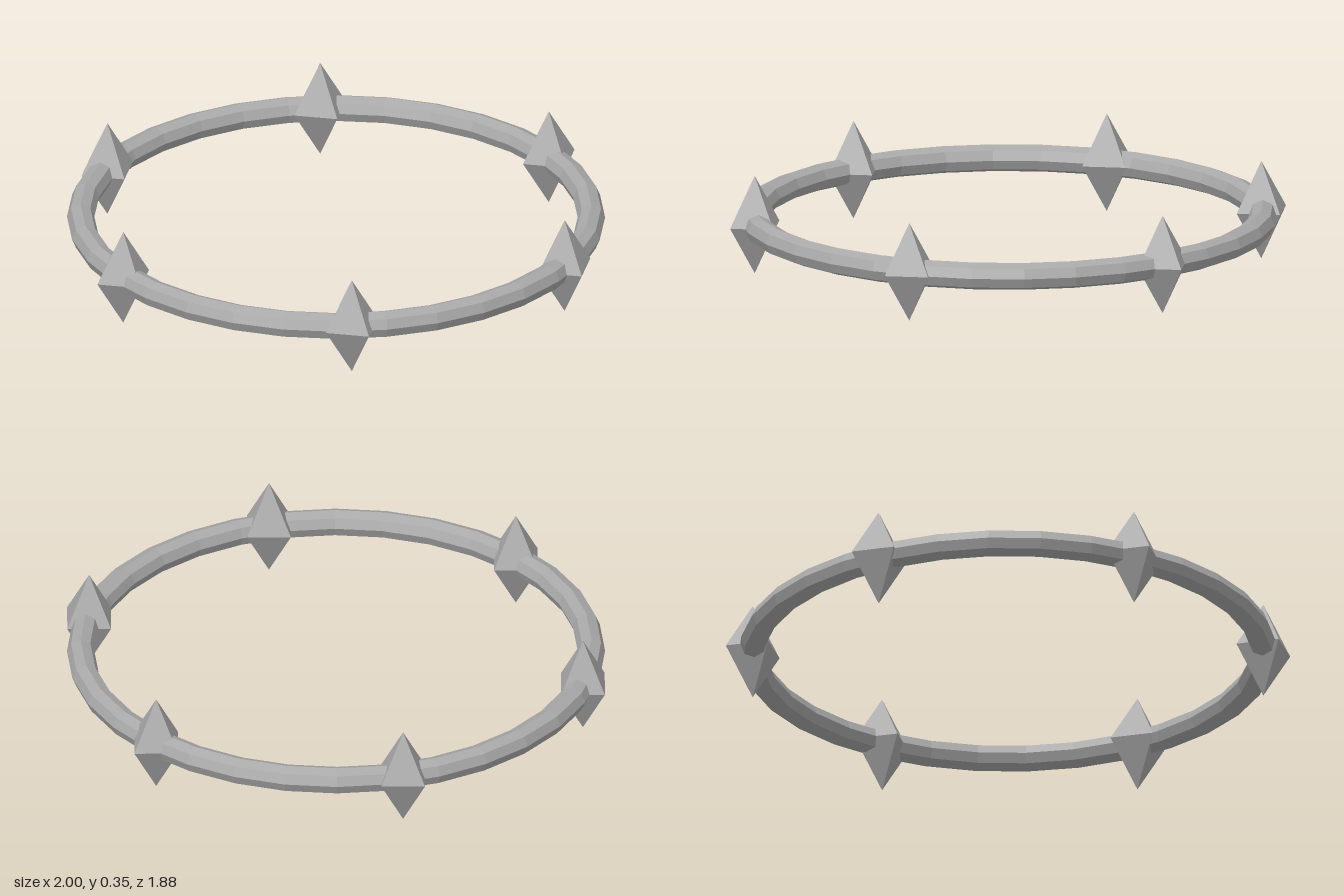
import * as THREE from 'three';

export function createModel() {
  const model = new THREE.Group();
  const gray = new THREE.MeshStandardMaterial({ color: 0xa8a8a8, flatShading: true });
  gray.name = 'gray';

  const ringRadius = 0.892;
  const midHeight = 0.175;

  // Faceted ring lying flat
  const ringGeometry = new THREE.TorusGeometry(ringRadius, 0.048, 8, 32);
  ringGeometry.rotateX(-Math.PI / 2);
  const ring = new THREE.Mesh(ringGeometry, gray);
  ring.name = 'ring';
  ring.position.y = midHeight;
  model.add(ring);

  // Six double-pointed spikes, all facing the same way
  const spikeGeometry = new THREE.OctahedronGeometry(1);
  spikeGeometry.scale(0.108, 0.175, 0.108);
  for (let i = 0; i < 6; i++) {
    const angle = (i * Math.PI) / 3;
    const spike = new THREE.Mesh(spikeGeometry, gray);
    spike.name = `spike${i + 1}`;
    spike.position.set(Math.cos(angle) * ringRadius, midHeight, Math.sin(angle) * ringRadius);
    model.add(spike);
  }

  return model;
}
